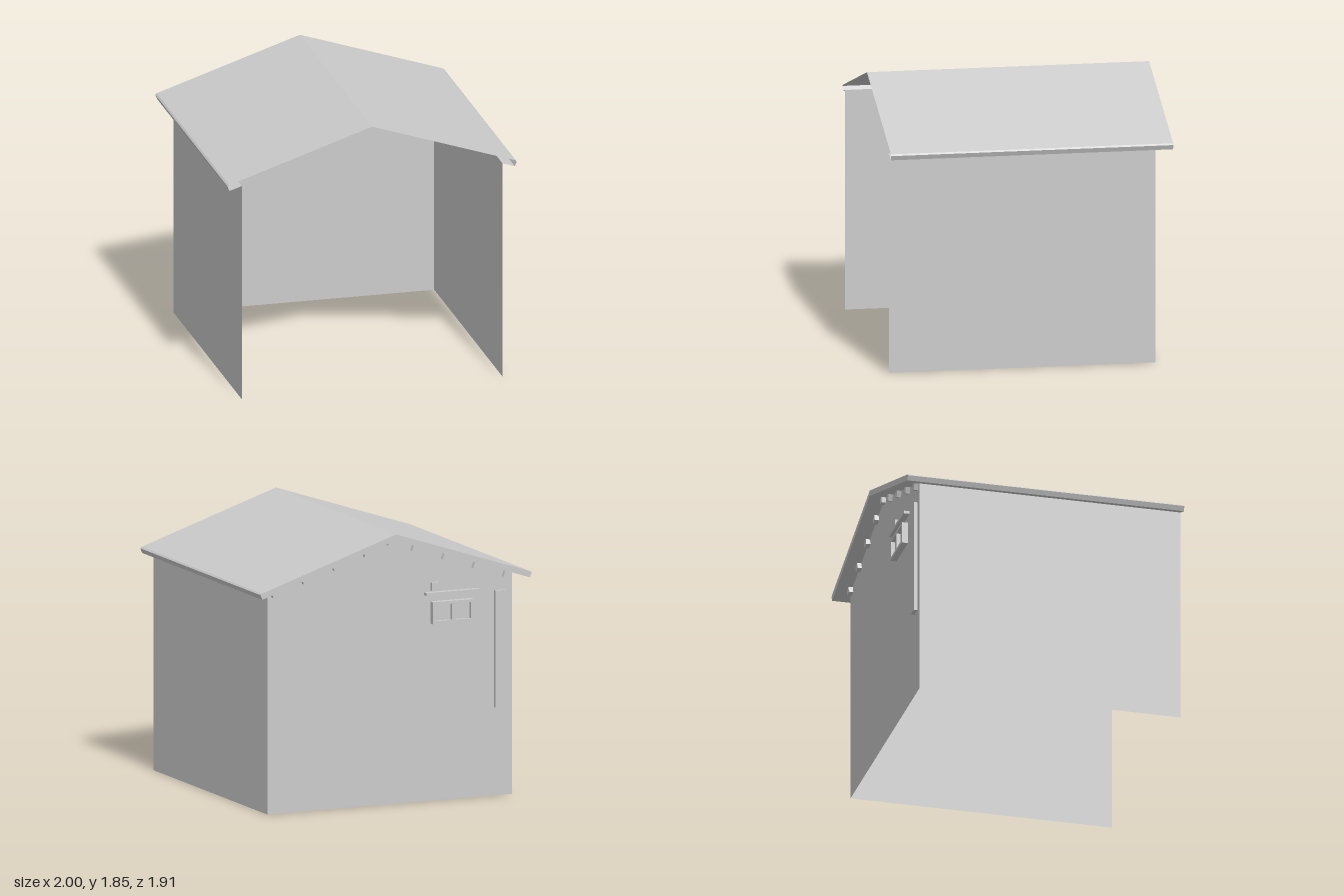
import * as THREE from 'three';

const FRONT = 0.955, BACK = -0.85, EAVE = -0.955;
const WALL_X = 0.9, WALL_TOP = 1.51, RIDGE = 1.81;
const solid = new THREE.MeshStandardMaterial({ color: 0xcccccc });
const sheet = new THREE.MeshStandardMaterial({ color: 0xcccccc, side: THREE.DoubleSide });

export function createModel() {
  const model = new THREE.Group();

  const add = (name, geometry, material = solid, parent = model) => {
    const mesh = new THREE.Mesh(geometry, material);
    mesh.name = name;
    parent.add(mesh);
    return mesh;
  };

  // Box given by its extents on each axis
  const block = (name, [x0, x1], [y0, y1], [z0, z1], parent) => {
    const mesh = add(name, new THREE.BoxGeometry(x1 - x0, y1 - y0, z1 - z0), solid, parent);
    mesh.position.set((x0 + x1) / 2, (y0 + y1) / 2, (z0 + z1) / 2);
    return mesh;
  };

  // Flat sheets swept along z below an x/y profile line
  const sweep = (profile, z0, z1) => {
    const pos = [];
    for (let i = 0; i < profile.length - 1; i++) {
      const [a, b] = [profile[i], profile[i + 1]];
      pos.push(...a, z0, ...a, z1, ...b, z1, ...a, z0, ...b, z1, ...b, z0);
    }
    const g = new THREE.BufferGeometry();
    g.setAttribute('position', new THREE.Float32BufferAttribute(pos, 3));
    g.computeVertexNormals();
    return g;
  };

  const polygon = (points) =>
    new THREE.ShapeGeometry(new THREE.Shape(points.map(([x, y]) => new THREE.Vector2(x, y))));

  // Walls: two sides and a gabled back, open at the front
  for (const s of [-1, 1]) {
    add(s > 0 ? 'leftWall' : 'rightWall',
      sweep([[s * WALL_X, 0], [s * WALL_X, WALL_TOP]], BACK, FRONT), sheet);
  }
  add('backWall', polygon([[-WALL_X, 0], [WALL_X, 0], [WALL_X, WALL_TOP], [0, RIDGE],
    [-WALL_X, WALL_TOP]]), sheet).position.z = BACK;

  // Roof: top skin with eave edge and soffit, closed only at the back
  for (const s of [-1, 1]) {
    const roof = new THREE.Group();
    roof.name = s > 0 ? 'leftRoof' : 'rightRoof';
    model.add(roof);
    const outer = [[0, 1.85], [0.988, 1.524], [0.998, 1.514], [0.985, 1.482], [WALL_X, WALL_TOP]]
      .map(([x, y]) => [s * x, y]);
    const ridge = [0, RIDGE];
    add('roofSkin', sweep(outer, EAVE, FRONT), sheet, roof);
    add('backSoffit', sweep([outer[4], ridge], EAVE, BACK), sheet, roof);
    add('backFascia', polygon([...outer, ridge]), sheet, roof).position.z = EAVE;
  }

  // Small beam ends along the back gable, tilted with the roof
  const slope = Math.atan2(RIDGE - WALL_TOP, WALL_X);
  for (const x of [-0.855, -0.63, -0.405, -0.18, 0, 0.18, 0.405, 0.63, 0.855]) {
    const beam = add('beamEnd', new THREE.BoxGeometry(0.045, 0.045, 0.03));
    beam.position.set(x, RIDGE - Math.abs(x) * Math.tan(slope) - 0.024, BACK - 0.015);
    beam.rotation.z = -Math.sign(x) * slope;
  }

  // Back window: frame with two openings, pane, ledge above and a small box
  const win = new THREE.Group();
  win.name = 'window';
  model.add(win);
  const rect = (Type, x, y, w, h) => new Type([[x, y], [x + w, y], [x + w, y + h], [x, y + h]]
    .map(([a, b]) => new THREE.Vector2(a, b)));
  const frame = rect(THREE.Shape, -0.6, 1.205, 0.3, 0.15);
  frame.holes.push(rect(THREE.Path, -0.58, 1.225, 0.122, 0.11),
    rect(THREE.Path, -0.442, 1.225, 0.122, 0.11));
  add('windowFrame', new THREE.ExtrudeGeometry(frame, { depth: 0.042, bevelEnabled: false }),
    solid, win).position.z = BACK - 0.042;
  block('windowPane', [-0.59, -0.31], [1.215, 1.345], [BACK - 0.015, BACK], win);
  block('windowLedge', [-0.645, -0.255], [1.4, 1.42], [BACK - 0.04, BACK], win);
  block('ventBox', [-0.36, -0.3], [1.43, 1.485], [BACK - 0.025, BACK], win);

  // Upright strip near the back corner, set slightly through the wall
  block('cornerStrip', [-0.845, -0.77], [0.6, 1.395], [BACK - 0.024, BACK + 0.002]);

  return model;
}
